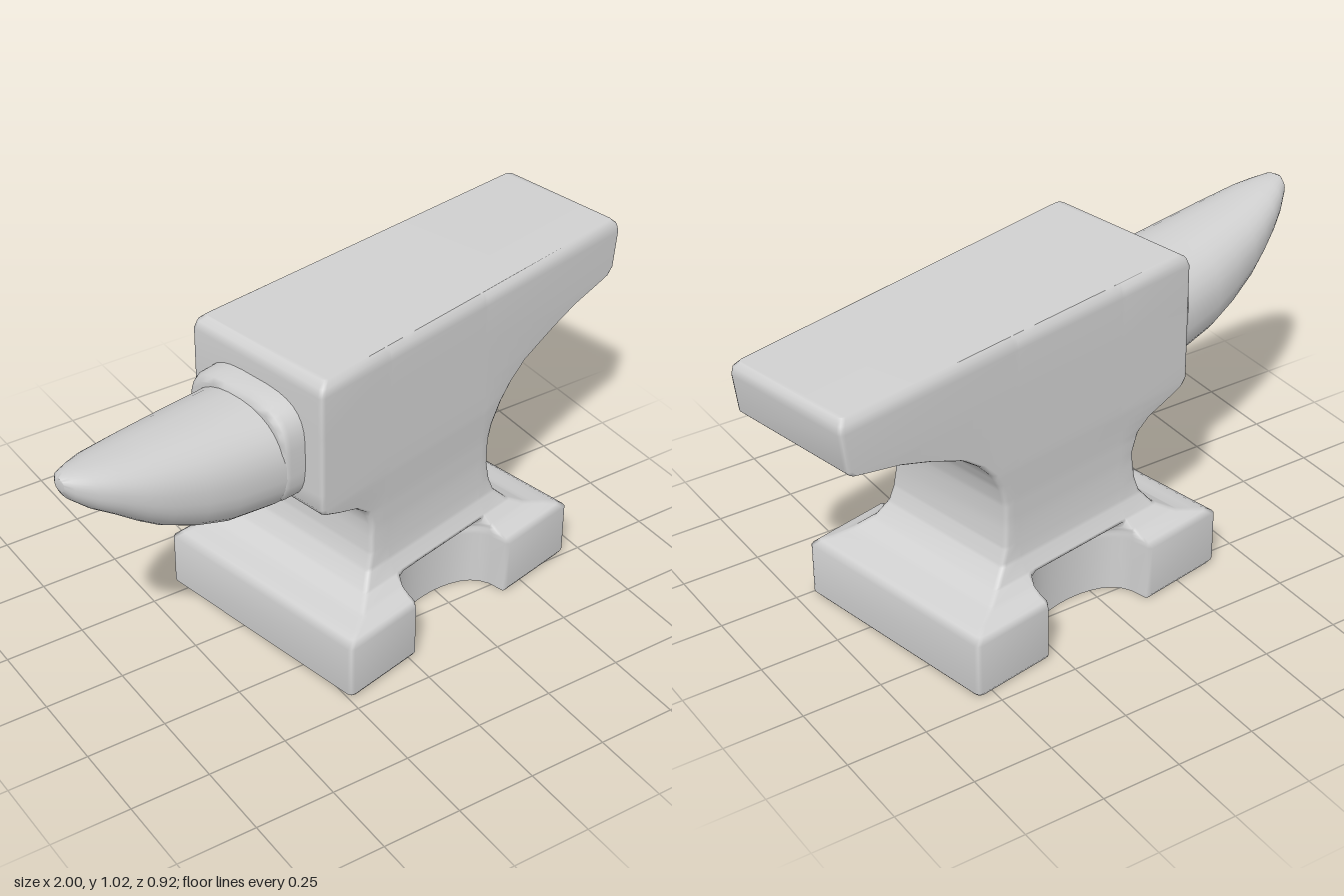
import * as THREE from 'three';

// Piecewise linear lookup in [key, value] pairs
function lookup(table, k) {
  if (k <= table[0][0]) return table[0][1];
  for (let i = 1; i < table.length; i++) {
    const [k0, v0] = table[i - 1], [k1, v1] = table[i];
    if (k <= k1) return v0 + (v1 - v0) * (k - k0) / (k1 - k0);
  }
  return table[table.length - 1][1];
}

// Skin a stack of equal-length rings; flat() projects a ring to its plane for the caps that are wanted
function loft(rings, flat, capStart, capEnd) {
  const n = rings[0].length, index = [];
  for (let r = 0; r < rings.length - 1; r++) {
    for (let i = 0; i < n; i++) {
      const j = (i + 1) % n, a = r * n + i, b = r * n + j;
      index.push(a, b, b + n, a, b + n, a + n);
    }
  }
  const cap = (ring) => THREE.ShapeUtils.triangulateShape(ring.map(flat), []);
  const last = (rings.length - 1) * n;
  if (capStart) for (const [a, b, c] of cap(rings[0])) index.push(a, c, b);
  if (capEnd) for (const [a, b, c] of cap(rings[rings.length - 1])) index.push(last + a, last + b, last + c);
  const geo = new THREE.BufferGeometry();
  geo.setAttribute('position', new THREE.Float32BufferAttribute(rings.flat(2), 3));
  geo.setIndex(index);
  geo.computeVertexNormals(); // area weighted: flats stay flat, narrow bevels shade round
  return geo;
}

// Side profile: horn end, heel end and half width against height
const HORN_END = [[0, -0.322], [0.015, -0.335], [0.182, -0.335], [0.197, -0.31], [0.215, -0.23], [0.25, -0.17],
  [0.3, -0.135], [0.35, -0.12], [0.44, -0.113], [0.5, -0.135], [0.54, -0.185], [0.565, -0.255], [0.59, -0.315],
  [0.61, -0.327], [0.985, -0.327], [1.01, -0.318], [1.025, -0.297]];
const HEEL_END = [[0, 0.625], [0.015, 0.637], [0.182, 0.637], [0.197, 0.615], [0.22, 0.525], [0.25, 0.467], [0.29, 0.43],
  [0.34, 0.41], [0.4, 0.402], [0.48, 0.402], [0.54, 0.415], [0.61, 0.45], [0.66, 0.495], [0.71, 0.56], [0.765, 0.69],
  [0.8, 0.79], [0.822, 0.89], [0.834, 0.94], [0.852, 0.957], [0.985, 0.973], [1.01, 0.969], [1.025, 0.955]];
const HALF_WIDTH = [[0, 0.377], [0.015, 0.387], [0.182, 0.387], [0.197, 0.37], [0.22, 0.325], [0.25, 0.288], [0.3, 0.264],
  [0.4, 0.255], [0.5, 0.256], [0.61, 0.262], [0.985, 0.262], [1.01, 0.257], [1.025, 0.242]];
const NOTCH = [[0.205, 1], [0.225, 0.85], [0.245, 0]];

// One horizontal outline with chamfered corners and the two foot notches
function outline(y) {
  const u0 = lookup(HORN_END, y), u1 = lookup(HEEL_END, y), w = lookup(HALF_WIDTH, y), k = lookup(NOTCH, y);
  const c = 0.016, side = [[u0, w - c], [u0 + c * 0.3, w - c * 0.3], [u0 + c, w], [0.153 - 0.213, w]];
  for (let i = 0; i <= 16; i++) {
    const t = Math.PI * i / 16;
    const cut = Math.min(w, 0.375 - 0.165 * Math.pow(Math.abs(Math.sin(t)), 0.65));
    side.push([0.153 - 0.203 * Math.cos(t), k * cut + (1 - k) * w]);
  }
  side.push([0.153 + 0.213, w], [u1 - c, w], [u1 - c * 0.3, w - c * 0.3], [u1, w - c]);
  const place = ([u, v], s) => {
    const drop = y > 0.98 ? 0.015 * (u + 0.32) / 1.3 : 0; // working face falls slightly to the heel
    const taper = 1 - (y > 0.2 ? 0.105 : 0.07) * (u + 0.33);
    return [u, y - drop, s * v * taper + 0.015];
  };
  return [...side.map((p) => place(p, 1)), ...side.slice().reverse().map((p) => place(p, -1))];
}

// Vertical rounded section; power 1 is an ellipse, smaller is boxier
function section([u, top, bottom, half], power) {
  const ring = [];
  const bend = (v) => Math.sign(v) * Math.pow(Math.abs(v), power);
  for (let i = 0; i < 32; i++) {
    const t = (i + 0.5) / 32 * Math.PI * 2;
    ring.push([u, (top + bottom) / 2 + bend(Math.sin(t)) * (top - bottom) / 2, 0.01 - bend(Math.cos(t)) * half]);
  }
  return ring;
}

export function createModel() {
  const model = new THREE.Group();
  model.name = 'anvil';
  const steel = new THREE.MeshStandardMaterial({ color: 0xd0d0d0, side: THREE.DoubleSide });
  steel.name = 'pale grey steel';
  const add = (name, geometry) => {
    const mesh = new THREE.Mesh(geometry, steel);
    mesh.name = name;
    model.add(mesh);
  };

  // Feet, waist, face and heel in one hollow casting, open underneath
  const levels = [...new Set([HORN_END, HEEL_END, HALF_WIDTH, NOTCH].flat().map((p) => p[0]))].sort((a, b) => a - b);
  add('body', loft(levels.map(outline), (p) => new THREE.Vector2(p[0], -p[2]), false, true));

  // Horn, tip to root
  const across = (p) => new THREE.Vector2(-p[2], p[1]);
  const horn = [[-1.02, 0.944, 0.905, 0.02], [-1.003, 0.953, 0.875, 0.045], [-0.95, 0.951, 0.825, 0.077],
    [-0.89, 0.947, 0.782, 0.105], [-0.82, 0.94, 0.726, 0.128], [-0.755, 0.935, 0.68, 0.146], [-0.65, 0.927, 0.626, 0.167],
    [-0.55, 0.92, 0.59, 0.182], [-0.4, 0.91, 0.567, 0.196], [-0.31, 0.91, 0.565, 0.198]];
  add('horn', loft(horn.map((s) => section(s, 0.88)), across, true, false));

  // Raised step between horn and body
  const collar = [[-0.4, 0.91, 0.61, 0.188], [-0.392, 0.928, 0.6, 0.196], [-0.378, 0.938, 0.592, 0.2], [-0.31, 0.94, 0.59, 0.202]];
  add('collar', loft(collar.map((s) => section(s, 0.6)), across, true, false));

  model.rotation.y = 0.2;
  return model;
}
